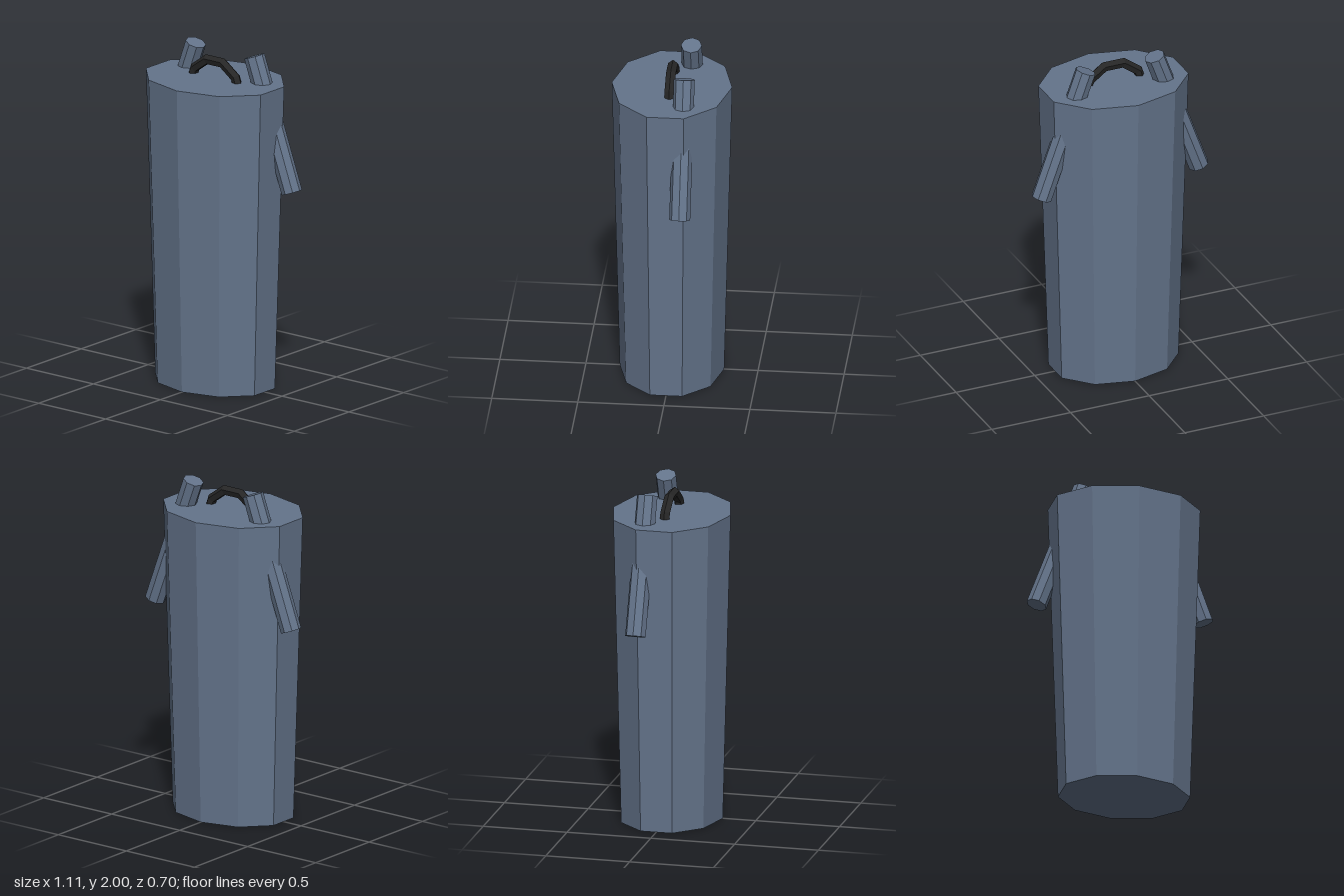
import * as THREE from 'three';

export function createModel() {
  const group = new THREE.Group();
  const slate = new THREE.MeshStandardMaterial({ color: 0x64748b, flatShading: true });
  const black = new THREE.MeshStandardMaterial({ color: 0x262626, flatShading: true });

  const add = (name, geometry, material, x, y, z) => {
    const mesh = new THREE.Mesh(geometry, material);
    mesh.name = name;
    mesh.position.set(x, y, z);
    group.add(mesh);
    return mesh;
  };

  // Tapered ten-sided body, flattened front to back
  const bodyHeight = 1.83;
  const body = new THREE.CylinderGeometry(0.45, 0.39, bodyHeight, 10);
  body.scale(1, 0.35 / 0.45, 1 / 1);
  body.scale(1, 0.45 / 0.35, 0.35 / 0.45);
  add('body', body, slate, 0, bodyHeight / 2, 0);

  // Slanted pipes that pass through the top and come out at the sides
  const pipe = new THREE.CylinderGeometry(0.061, 0.061, 0.82, 8);
  for (const [name, side] of [['leftPipe', 1], ['rightPipe', -1]]) {
    add(name, pipe, slate, side * 0.359, 1.594, -0.092).rotation.z = side * THREE.MathUtils.degToRad(20);
  }

  // Carrying handle: a half ring sunk into the top
  add('handle', new THREE.TorusGeometry(0.19, 0.03, 5, 5, Math.PI), black, 0, 1.748, 0);

  return group;
}
